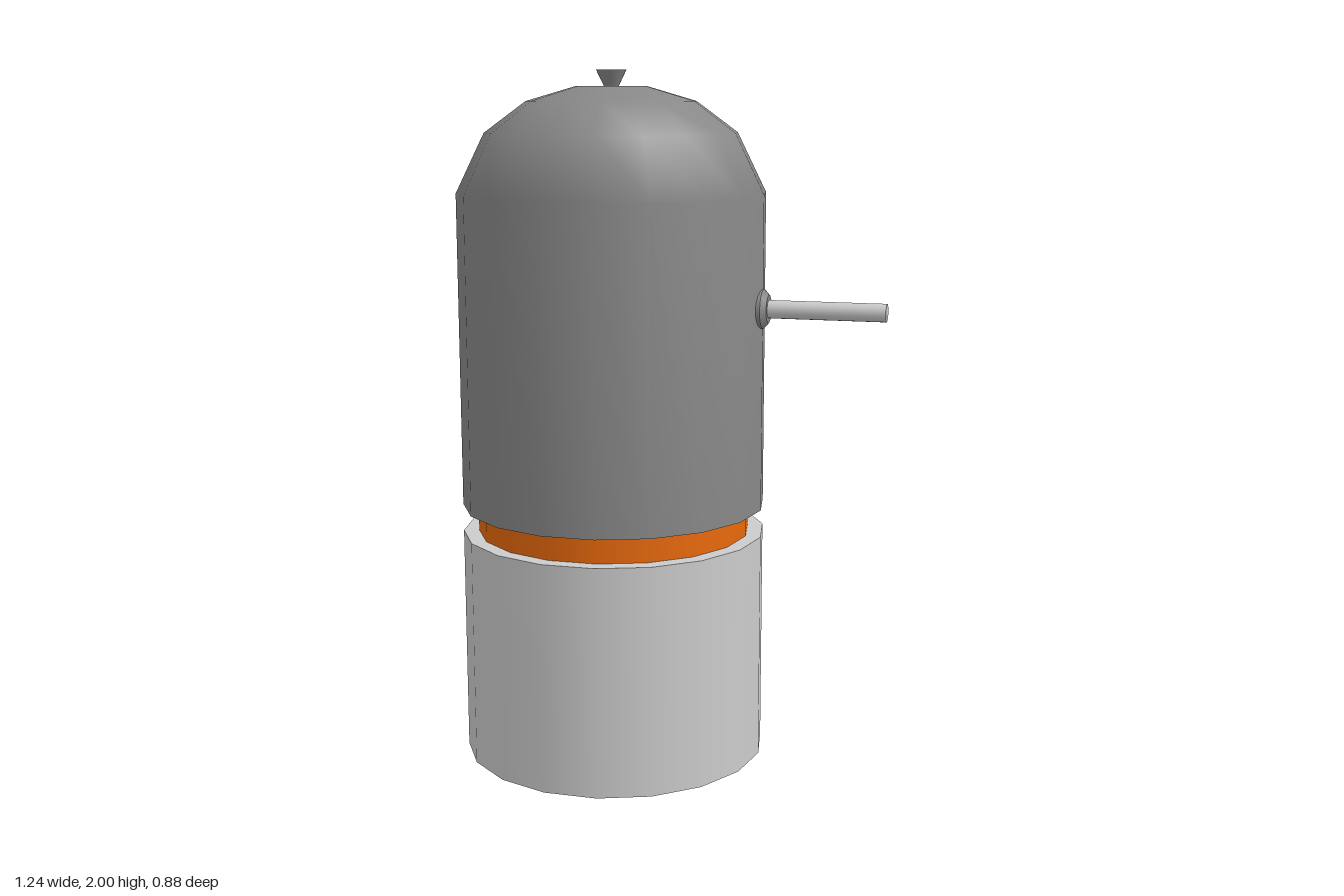
import * as THREE from 'three';

const SIDES = 18;
const BODY_X = -0.177;

const light = new THREE.MeshStandardMaterial({ color: 0xcccccc });
const dark = new THREE.MeshStandardMaterial({ color: 0x888888 });
const orange = new THREE.MeshStandardMaterial({ color: 0xe8690b });

// Adds a named mesh to its parent
function add(parent, name, geometry, material, x = 0, y = 0) {
  const mesh = new THREE.Mesh(geometry, material);
  mesh.name = name;
  mesh.position.set(x, y, 0);
  parent.add(mesh);
  return mesh;
}

// Upright drum with a corner on the x axis
const drum = (radius, height) =>
  new THREE.CylinderGeometry(radius, radius, height, SIDES, 1, false, Math.PI / 2);

// Profile of [radius, height] pairs, from bottom to top, spun round y
const spin = (profile, sides) =>
  new THREE.LatheGeometry(profile.map(([r, h]) => new THREE.Vector2(r, h)), sides);

export function createModel() {
  const model = new THREE.Group();
  model.name = 'domedCanister';

  // Lower drum and the recessed coloured band above it
  add(model, 'base', drum(0.445, 0.667), light, BODY_X, 0.3335);
  add(model, 'band', drum(0.4, 0.12), orange, BODY_X, 0.707);

  // Domed upper body with its flat underside
  const upper = new THREE.Group();
  upper.name = 'upperBody';
  upper.position.x = BODY_X;
  model.add(upper);
  const shell = spin([
    [0.445, 0.747], [0.445, 1.655], [0.362, 1.825],
    [0.243, 1.913], [0.1, 1.955], [0, 1.955],
  ], SIDES);
  shell.rotateY(Math.PI / 2);
  add(upper, 'domedShell', shell, dark);
  const underside = new THREE.CircleGeometry(0.445, SIDES);
  underside.rotateX(Math.PI / 2);
  add(upper, 'underside', underside, dark, 0, 0.747);

  // Small flared knob on the crown
  add(model, 'knob', new THREE.CylinderGeometry(0.043, 0.014, 0.06, 24), dark, BODY_X, 1.97);

  // Side handle: bevelled collar and rod, lying along +x
  const handle = new THREE.Group();
  handle.name = 'sideHandle';
  handle.position.y = 1.335;
  handle.rotation.z = -Math.PI / 2;
  model.add(handle);
  add(handle, 'collarRim', spin([[0.057, 0.23], [0.057, 0.27]], 16), dark);
  add(handle, 'collarBevel', spin([[0.057, 0.27], [0.04, 0.285]], 16), dark);
  add(handle, 'collarFace', spin([[0.04, 0.285], [0, 0.285]], 16), dark);
  add(handle, 'rod', new THREE.CylinderGeometry(0.026, 0.026, 0.378, 16), light, 0, 0.431);

  return model;
}
